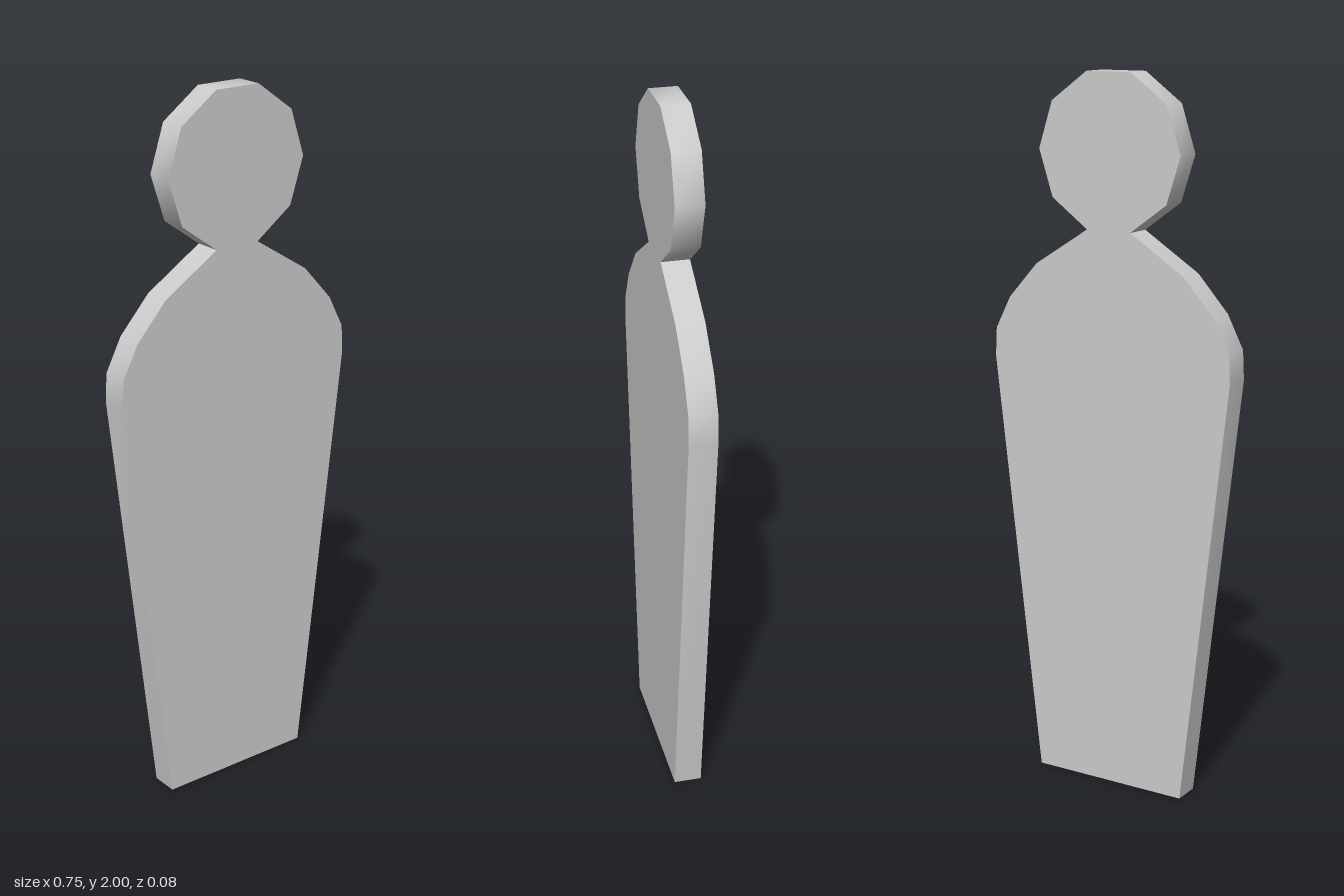
import * as THREE from 'three';
import { toCreasedNormals } from 'three/addons/utils/BufferGeometryUtils.js';

const THICKNESS = 0.078;
const HEAD = { y: 1.791, radius: 0.22, sides: 10 };

// Right half of the outline, from the base up to the crown
function halfOutline() {
  const points = [
    [0.233, 0], // base
    [0.374, 1.205], [0.37, 1.285], [0.323, 1.377], [0.233, 1.477], // arm and shoulder
  ];
  // Head: half of a decagon, whose lowest corner is the neck
  for (let i = -2; i <= 2; i++) {
    const a = (i / HEAD.sides) * Math.PI * 2;
    points.push([HEAD.radius * Math.cos(a), HEAD.y + HEAD.radius * Math.sin(a)]);
  }
  return points.map(([x, y]) => new THREE.Vector2(x, y));
}

export function createModel() {
  const group = new THREE.Group();
  group.name = 'standingFigure';

  // Mirror the half outline and extrude it into a flat cutout
  const right = halfOutline();
  const left = right.map((p) => new THREE.Vector2(-p.x, p.y)).reverse();
  const geometry = new THREE.ExtrudeGeometry(new THREE.Shape([...right, ...left]), {
    depth: THICKNESS,
    bevelEnabled: false,
  });
  geometry.translate(0, 0, -THICKNESS / 2);

  // Smooth round the head and shoulders, sharp at the neck, base and faces
  const cutout = new THREE.Mesh(
    toCreasedNormals(geometry, THREE.MathUtils.degToRad(45)),
    new THREE.MeshStandardMaterial({ color: 0xcccccc })
  );
  cutout.name = 'personCutout';
  group.add(cutout);
  return group;
}
